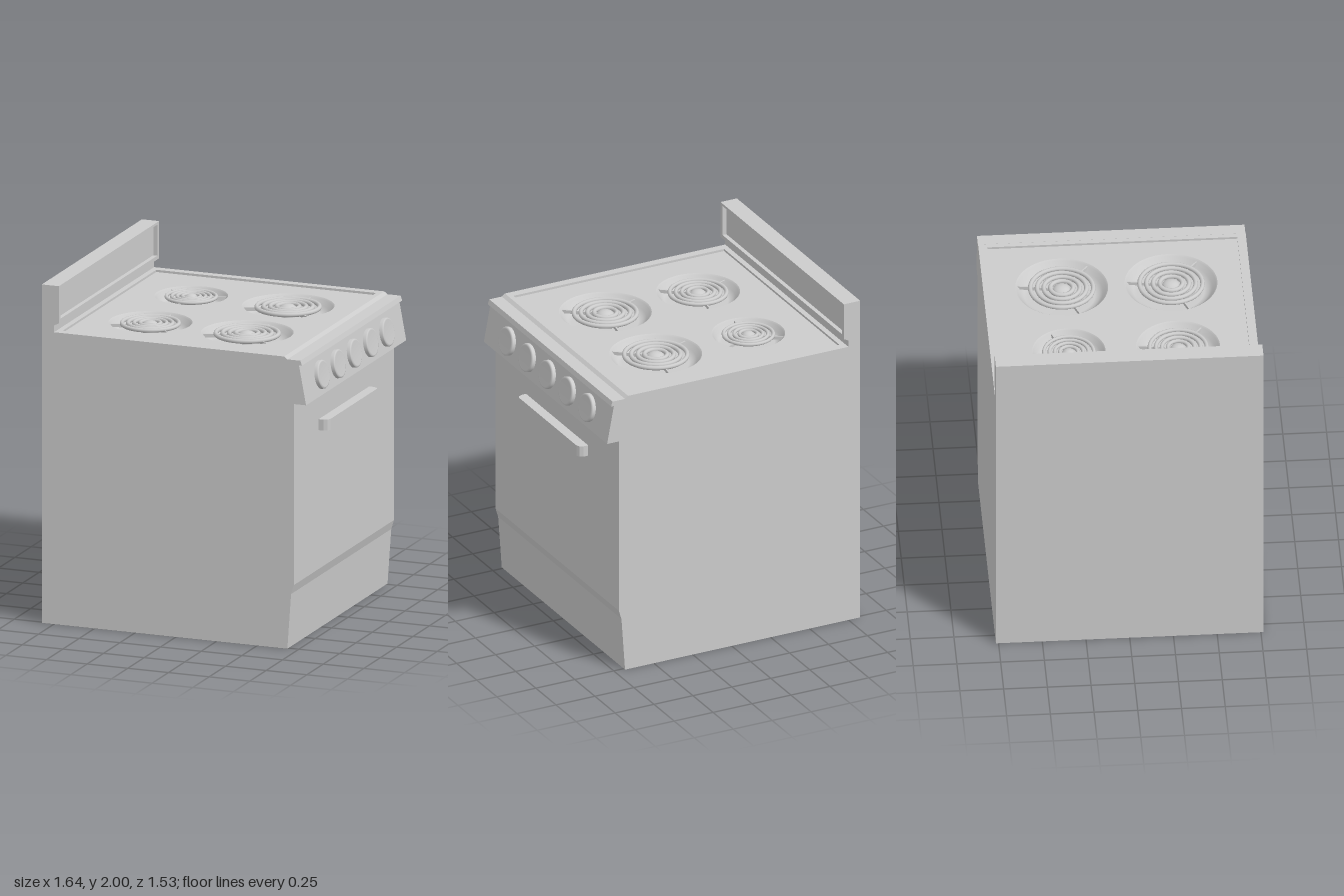
import * as THREE from 'three';

const W = 0.765; // half width along z
const DECK = 1.712, RIM = 1.725;

const mat = new THREE.MeshStandardMaterial({ color: 0xcccccc, side: THREE.DoubleSide });

function add(parent, name, geometry, x = 0, y = 0, z = 0) {
  const mesh = new THREE.Mesh(geometry, mat);
  mesh.name = name;
  mesh.position.set(x, y, z);
  parent.add(mesh);
  return mesh;
}

const shapeOf = pts => new THREE.Shape(pts.map(p => new THREE.Vector2(p[0], p[1])));

// Side profile (x, y) run along the full width in z
function acrossWidth(pts, half = W) {
  return new THREE.ExtrudeGeometry(shapeOf(pts), { depth: 2 * half, bevelEnabled: false }).translate(0, 0, -half);
}

const rect = (x0, y0, x1, y1) => [[x0, y0], [x1, y0], [x1, y1], [x0, y1]];

// Plan shape (x, -z) raised upward from y
function upright(shape, y, height) {
  return new THREE.ExtrudeGeometry(shape, { depth: height, bevelEnabled: false, curveSegments: 32 })
    .rotateX(-Math.PI / 2).translate(0, y, 0);
}

// Bowl, heating coil, hub and three support bars
function createBurner(R, turn) {
  const g = new THREE.Group();
  g.name = 'burner';
  const s = R / 0.265;
  const bowl = [[0.001, -0.06], [0.19, -0.06], [0.215, -0.052], [0.235, -0.035], [0.255, -0.008], [0.265, 0]];
  add(g, 'dripBowl', new THREE.LatheGeometry(bowl.map(p => new THREE.Vector2(p[0] * s, p[1])), 64));
  for (const r of [0.065, 0.103, 0.141, 0.18]) {
    add(g, 'coilRing', new THREE.TorusGeometry(r * s, 0.013 * s, 10, 56).rotateX(Math.PI / 2), 0, -0.006, 0);
  }
  const hub = [[0.05, -0.06], [0.05, -0.012], [0.044, -0.004], [0.03, 0.005], [0.015, 0.009], [0, 0.01]];
  add(g, 'hub', new THREE.LatheGeometry(hub.map(p => new THREE.Vector2(p[0] * s, p[1])), 32));
  for (let i = 0; i < 3; i++) {
    const arm = new THREE.Group();
    arm.name = 'supportArm';
    arm.rotation.y = -(turn + i * Math.PI * 2 / 3);
    add(arm, 'supportBar', new THREE.BoxGeometry(0.22 * s, 0.02, 0.009), 0.15 * s, -0.02, 0);
    g.add(arm);
  }
  return g;
}

export function createModel() {
  const stove = new THREE.Group();
  stove.name = 'stove';

  // Cabinet with the door front and the set-back toe panel
  add(stove, 'cabinet', acrossWidth([
    [-0.825, 0], [0.685, 0], [0.708, 0.325], [0.725, 0.38], [0.725, 1.6], [-0.825, 1.6],
  ]));

  // Sloping control panel with the front lip
  add(stove, 'controlPanel', acrossWidth([
    [0.66, 1.45], [0.8, 1.45], [0.757, 1.68], [0.775, 1.682], [0.765, 1.71],
    [0.685, 1.71], [0.665, RIM], [0.66, RIM],
  ]));

  // Raised rim around the cooktop
  const rim = shapeOf(rect(-0.825, -W, 0.662, W));
  rim.holes.push(new THREE.Path(rect(-0.717, -0.715, 0.635, 0.715).map(p => new THREE.Vector2(...p))));
  add(stove, 'cooktopRim', upright(rim, 1.6, RIM - 1.6));

  // Sunken deck with four burner openings
  const burners = [
    [-0.34, -0.315, 0.21, -0.45],
    [0.255, -0.315, 0.265, 0.68],
    [-0.34, 0.31, 0.24, 0.68],
    [0.255, 0.31, 0.265, 0.68],
  ];
  const deck = shapeOf(rect(-0.717, -0.715, 0.635, 0.715));
  for (const [x, z, R, turn] of burners) {
    const hole = new THREE.Path();
    hole.absarc(x, -z, R, 0, Math.PI * 2, true);
    deck.holes.push(hole);
    const burner = createBurner(R, turn);
    burner.position.set(x, DECK, z);
    stove.add(burner);
  }
  add(stove, 'cooktopDeck', upright(deck, DECK - 0.004, 0.004));

  // Backsplash: foot, backing sheet and front frame
  add(stove, 'backsplashFoot', acrossWidth([
    [-0.825, RIM], [-0.75, RIM], [-0.75, 1.765], [-0.72, 1.78], [-0.825, 1.78],
  ]));
  add(stove, 'backsplashSheet', acrossWidth(rect(-0.825, 1.78, -0.745, 2)));
  const frame = shapeOf(rect(-W, 1.78, W, 2));
  frame.holes.push(new THREE.Path(rect(-0.74, 1.802, 0.74, 1.985).map(p => new THREE.Vector2(...p))));
  add(stove, 'backsplashFrame',
    new THREE.ExtrudeGeometry(frame, { depth: 0.025, bevelEnabled: false }).rotateY(Math.PI / 2), -0.745, 0, 0);

  // Row of knobs standing square to the control panel
  const knob = [[0.083, -0.004], [0.083, 0.018], [0.08, 0.023], [0.071, 0.026], [0.069, 0.022], [0, 0.022]];
  for (let i = -2; i <= 2; i++) {
    const k = add(stove, 'knob', new THREE.LatheGeometry(knob.map(p => new THREE.Vector2(...p)), 40),
      0.7785, 1.563, i * 0.248);
    k.rotation.z = -Math.PI / 2 + Math.atan2(0.043, 0.23);
  }

  // Door handle with tapered ends
  const grip = shapeOf([
    [0.72, -0.385], [0.755, -0.385], [0.775, -0.375], [0.785, -0.355],
    [0.785, 0.355], [0.775, 0.375], [0.755, 0.385], [0.72, 0.385],
  ]);
  add(stove, 'doorHandle', upright(grip, 1.2, 0.065));

  return stove;
}
